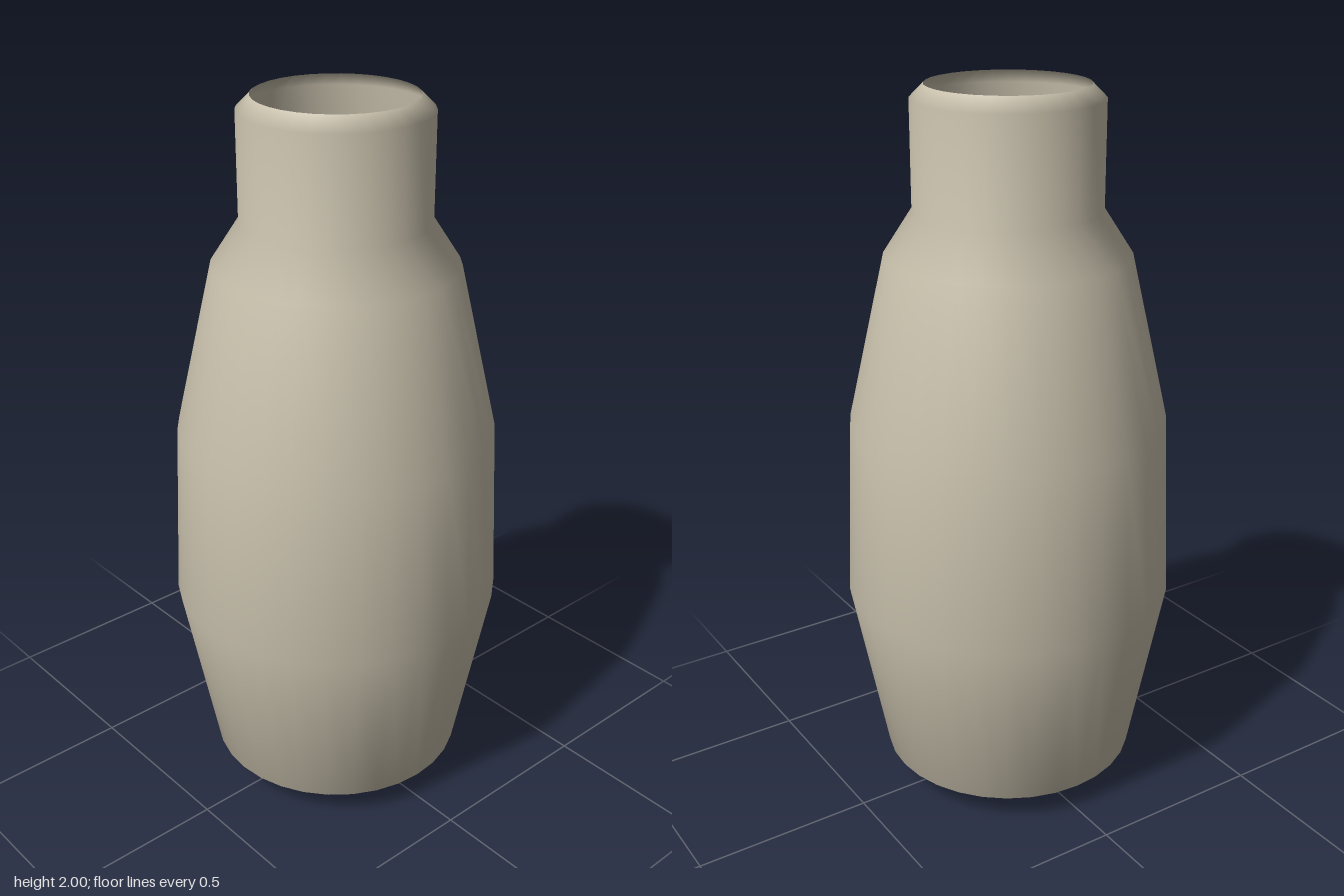
import * as THREE from 'three';

export function createModel() {
  const model = new THREE.Group();
  model.name = 'bottle';

  // Open, thin-walled shell, so both sides show
  const clay = new THREE.MeshStandardMaterial({ color: 0xc8c0ac, side: THREE.DoubleSide });
  clay.name = 'beige clay';

  // Profile from the centre of the base up to the open rim
  const profile = [
    [0, 0], [0.205, 0],            // flat base
    [0.36, 0.08],                  // bevelled foot
    [0.458, 0.6], [0.436, 1.1],    // belly
    [0.33, 1.56], [0.252, 1.68],   // shoulder
    [0.252, 1.963], [0.215, 2],    // neck and bevelled rim
  ].map(([r, y]) => new THREE.Vector2(r, y));

  const body = new THREE.Mesh(new THREE.LatheGeometry(profile, 32), clay);
  body.name = 'bottleBody';
  model.add(body);

  return model;
}
